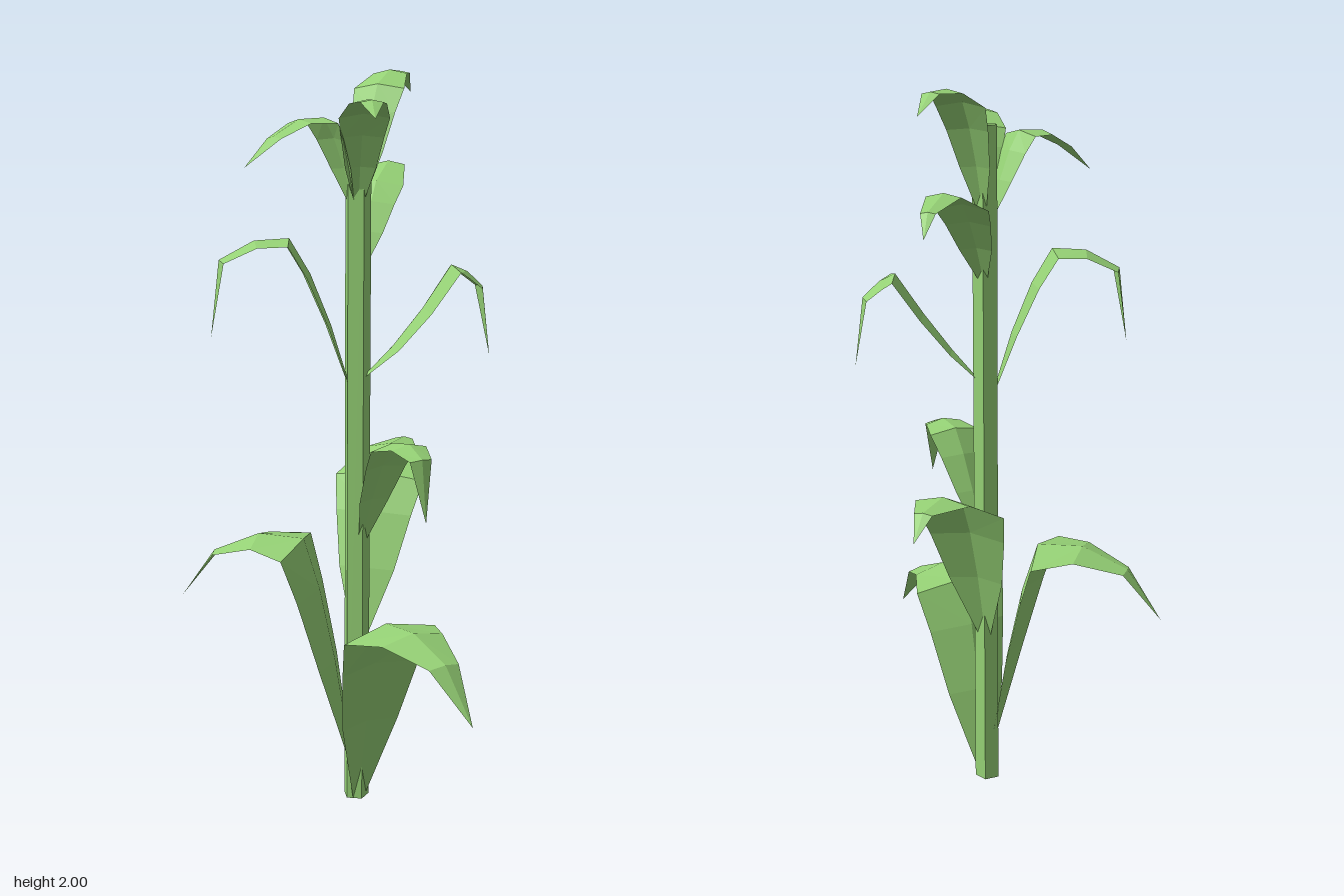
import * as THREE from 'three';

const STALK = { x: 0.075, z: 0.07, radius: 0.036, height: 1.9 };
const FOLD = 0.22;

// Centreline of a leaf as [distance out, height, width factor]: a bulging rise to
// the shoulder, a raised crest, then the bend and the drooping tip
function leafSections({ base, shoulder, bend, end, reach, taper, bulge = 0.12 }) {
  const start = 0.015;
  const rise = shoulder[1] - base;
  const rising = [[0, 0.13], [1 / 3, 0.62], [2 / 3, 0.85], [1, 1]].map(([t, width]) => [
    start + t * (shoulder[0] - start),
    base + t * rise + bulge * rise * 4 * t * (1 - t),
    width,
  ]);
  const crest = [
    (shoulder[0] + bend[0]) / 2,
    (shoulder[1] + bend[1]) / 2 + 0.12 * (bend[0] - shoulder[0]),
    (1 + taper) / 2,
  ];
  return [...rising, crest, [...bend, taper], [reach, end, 0]];
}

// Arched blade swept from three-point cross-sections; the edges fold back from
// the midrib at right angles to the centreline, and sway bows the blade sideways
function leafGeometry(leaf) {
  const dx = leaf.tip[0] - STALK.x, dz = leaf.tip[1] - STALK.z;
  const reach = Math.hypot(dx, dz);
  const c = dx / reach, s = dz / reach;
  const sections = leafSections({ ...leaf, reach });
  const positions = [], index = [];
  sections.forEach(([out, y, width], i) => {
    const before = sections[Math.max(i - 1, 0)];
    const after = sections[Math.min(i + 1, sections.length - 1)];
    const run = after[0] - before[0], climb = after[1] - before[1];
    const length = Math.hypot(run, climb);
    const t = out / reach;
    const bow = (leaf.sway ?? 0) * 4 * t * (1 - t);
    for (const side of [-1, 0, 1]) {
      const w = side * width * leaf.half;
      const fold = FOLD * Math.abs(w) / length;
      const r = out + fold * climb, across = w + bow;
      positions.push(STALK.x + c * r - s * across, y - fold * run, STALK.z + s * r + c * across);
    }
    if (i === 0) return;
    for (let j = 0; j < 2; j++) {
      const a = (i - 1) * 3 + j, b = a + 3;
      index.push(a, a + 1, b, a + 1, b + 1, b);
    }
  });
  const geometry = new THREE.BufferGeometry();
  geometry.setAttribute('position', new THREE.Float32BufferAttribute(positions, 3));
  geometry.setIndex(index);
  const faceted = geometry.toNonIndexed();
  faceted.computeVertexNormals();
  return faceted;
}

export function createModel() {
  const group = new THREE.Group();
  group.name = 'cornPlant';
  const leafGreen = new THREE.MeshStandardMaterial({ color: 0x95d175, flatShading: true, side: THREE.DoubleSide });
  leafGreen.name = 'leafGreen';

  const addPart = (name, geometry) => {
    const mesh = new THREE.Mesh(geometry, leafGreen);
    mesh.name = name;
    group.add(mesh);
  };
  const addLeaf = (name, leaf) => addPart(name, leafGeometry(leaf));

  // Five-sided stalk with a flat face to the front
  addPart('stalk', new THREE.CylinderGeometry(STALK.radius, STALK.radius, STALK.height, 5, 1, false, Math.PI / 5)
    .translate(STALK.x, STALK.height / 2, STALK.z));

  // Large low leaves
  addLeaf('lowFrontLeaf', { tip: [0.43, 0.46], base: 0, shoulder: [0.175, 0.56], bend: [0.43, 0.52], end: 0.38, half: 0.147, taper: 0.32, sway: 0.025 });
  addLeaf('lowRightLeaf', { tip: [-0.43, 0.025], base: 0.12, shoulder: [0.15, 0.74], bend: [0.41, 0.69], end: 0.55, half: 0.155, taper: 0.24 });
  addLeaf('lowBackLeaf', { tip: [0.165, -0.41], base: 0.45, shoulder: [0.175, 0.9], bend: [0.43, 0.95], end: 0.885, half: 0.13, taper: 0.2 });

  // Middle leaves
  addLeaf('middleFrontLeaf', { tip: [0.29, 0.31], base: 0.74, shoulder: [0.135, 1.04], bend: [0.29, 1.025], end: 0.865, half: 0.076, taper: 0.45, sway: -0.025 });
  addLeaf('middleRightLeaf', { tip: [-0.3, 0.17], base: 1.16, shoulder: [0.18, 1.57], bend: [0.365, 1.515], end: 1.31, half: 0.085, taper: 0.65 });
  addLeaf('middleLeftLeaf', { tip: [0.42, -0.03], base: 1.2, shoulder: [0.245, 1.5], bend: [0.335, 1.44], end: 1.25, half: 0.08, taper: 0.62, bulge: -0.05, sway: 0.04 });

  // Small upper leaves
  addLeaf('upperBackLeaf', { tip: [0.115, -0.46], base: 1.48, shoulder: [0.17, 1.71], bend: [0.48, 1.73], end: 1.67, half: 0.073, taper: 0.27, sway: 0.015 });
  addLeaf('topBackLeaf', { tip: [0.17, -0.285], base: 1.66, shoulder: [0.13, 1.965], bend: [0.3, 2], end: 1.945, half: 0.072, taper: 0.35 });
  addLeaf('topRightLeaf', { tip: [-0.17, 0.33], base: 1.65, shoulder: [0.11, 1.88], bend: [0.27, 1.835], end: 1.76, half: 0.068, taper: 0.45 });
  addLeaf('topFrontLeaf', { tip: [0.165, 0.39], base: 1.65, shoulder: [0.12, 1.89], bend: [0.27, 1.925], end: 1.88, half: 0.065, taper: 0.45 });

  return group;
}
